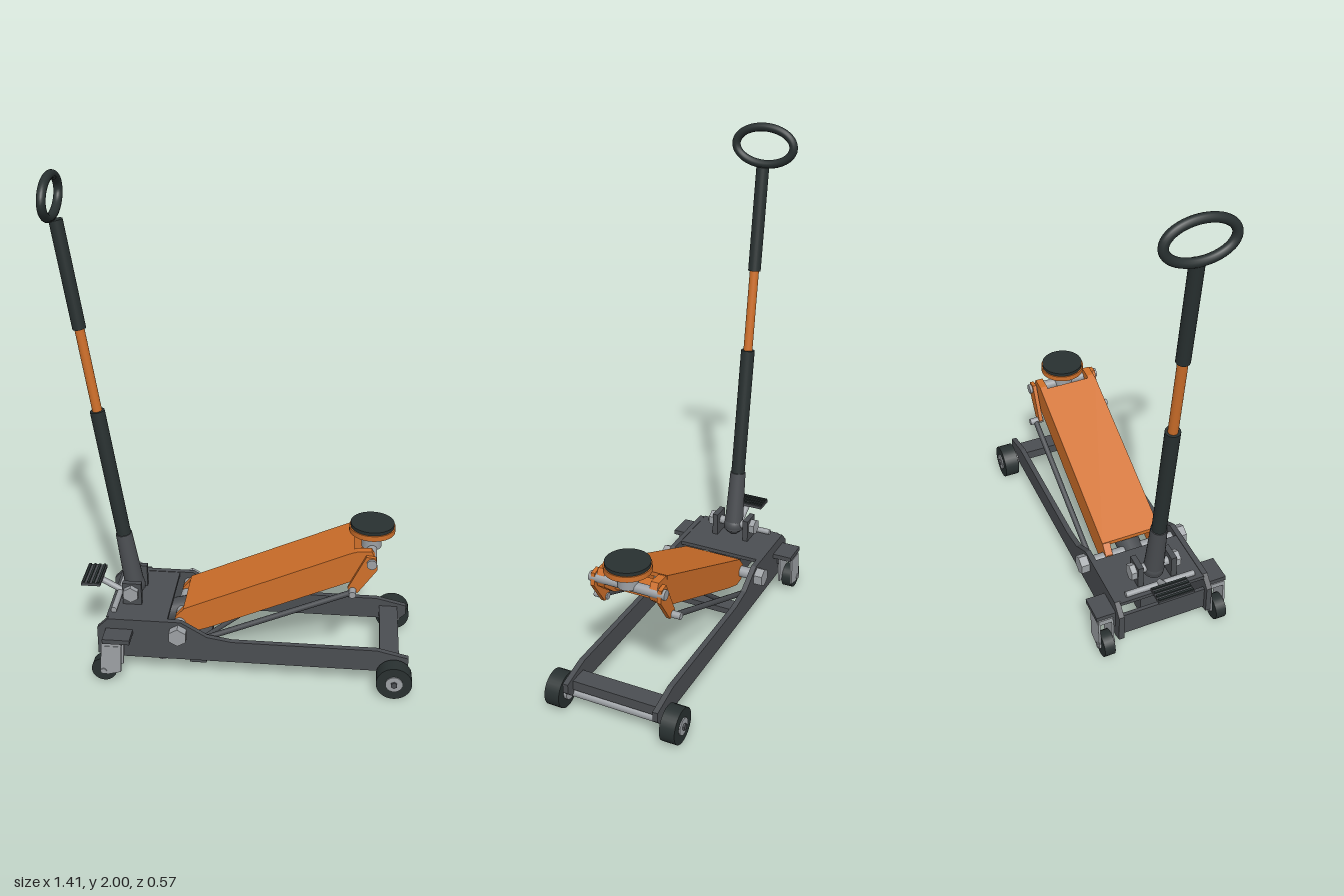
import * as THREE from 'three';

const material = (name, color) => {
  const m = new THREE.MeshStandardMaterial({ color });
  m.name = name;
  return m;
};

export function createModel() {
  const orange = material('orange paint', 0xd0702a);
  const frame = material('frame grey', 0x4b4e52);
  const rubber = material('black rubber', 0x293131);
  const steel = material('bare steel', 0x9da1a5);
  const root = new THREE.Group();
  root.name = 'trolleyJack';

  const add = (name, geometry, mat, x = 0, y = 0, z = 0) => {
    const m = new THREE.Mesh(geometry, mat);
    m.name = name;
    m.position.set(x, y, z);
    root.add(m);
    return m;
  };
  const box = (name, mat, x0, x1, y0, y1, z0, z1) =>
    add(name, new THREE.BoxGeometry(x1 - x0, y1 - y0, Math.abs(z1 - z0)), mat,
      (x0 + x1) / 2, (y0 + y1) / 2, (z0 + z1) / 2);
  // Round or polygonal bar between two points
  const rod = (name, mat, a, b, r0, r1 = r0, sides = 24) => {
    const p = new THREE.Vector3(...a), q = new THREE.Vector3(...b);
    const d = q.clone().sub(p);
    let g = new THREE.CylinderGeometry(r1, r0, d.length(), sides);
    if (sides < 10) { g = g.toNonIndexed(); g.computeVertexNormals(); }
    const m = add(name, g, mat, ...p.clone().add(q).multiplyScalar(0.5).toArray());
    m.quaternion.setFromUnitVectors(new THREE.Vector3(0, 1, 0), d.normalize());
    return m;
  };
  // Plate cut in the xy plane, running from z0 to z1
  const plate = (name, mat, points, z0, z1) => {
    const s = new THREE.Shape(points.map(p => new THREE.Vector2(...p)));
    const lo = Math.min(z0, z1);
    return add(name, new THREE.ExtrudeGeometry(s, { depth: Math.abs(z1 - z0), bevelEnabled: false }), mat, 0, 0, lo);
  };
  const cross = (name, mat, x, y, half, r, sides) =>
    rod(name, mat, [x, y, -half], [x, y, half], r, r, sides);

  // Parts that repeat on both sides
  for (const s of [1, -1]) {
    plate('sideRail', frame, [[-0.565, 0.085], [-0.53, 0.075], [0.66, 0.075], [0.685, 0.1], [0.685, 0.14],
      [0.56, 0.17], [-0.02, 0.17], [-0.12, 0.187], [-0.225, 0.25], [-0.52, 0.25], [-0.565, 0.205]],
      s * 0.178, s * 0.2);
    rod('pivotNut', steel, [-0.235, 0.2, s * 0.2], [-0.235, 0.2, s * 0.235], 0.039, 0.039, 6);

    // Front wheel with hub
    rod('frontWheel', rubber, [0.63, 0.07, s * 0.212], [0.63, 0.07, s * 0.274], 0.071, 0.071, 32);
    rod('frontHub', steel, [0.63, 0.07, s * 0.2], [0.63, 0.07, s * 0.279], 0.034);
    rod('hubBolt', frame, [0.63, 0.07, s * 0.27], [0.63, 0.07, s * 0.286], 0.014, 0.014, 6);

    // Rear caster
    box('casterMount', frame, -0.53, -0.42, 0.185, 0.205, s * 0.2, s * 0.28);
    box('casterMountLip', frame, -0.53, -0.47, 0.13, 0.19, s * 0.2, s * 0.212);
    box('casterCrown', steel, -0.535, -0.455, 0.165, 0.187, s * 0.213, s * 0.273);
    for (const z of [0.211, 0.267]) {
      plate('casterFork', steel, [[-0.535, 0.17], [-0.545, 0.045], [-0.515, 0.035], [-0.46, 0.05], [-0.455, 0.17]],
        s * z, s * (z + 0.008));
    }
    rod('casterWheel', rubber, [-0.53, 0.051, s * 0.221], [-0.53, 0.051, s * 0.265], 0.051, 0.051, 28);
    rod('casterAxle', steel, [-0.53, 0.051, s * 0.207], [-0.53, 0.051, s * 0.279], 0.012);

    // Lift arm cheek and saddle bracket
    plate('armCheek', orange, [[-0.262, 0.18], [-0.258, 0.225], [-0.225, 0.264], [0.465, 0.575], [0.52, 0.578],
      [0.54, 0.54], [0.53, 0.505], [0.46, 0.445], [-0.12, 0.185], [-0.2, 0.155], [-0.245, 0.16]],
      s * 0.094, s * 0.125);
    plate('saddleBracket', orange, [[0.432, 0.42], [0.445, 0.402], [0.472, 0.402], [0.545, 0.51],
      [0.538, 0.56], [0.5, 0.565]], s * 0.13, s * 0.146);

    // Parallel link and its pins
    rod('parallelLink', frame, [-0.28, 0.09, s * 0.157], [0.455, 0.412, s * 0.157], 0.0115);
    rod('linkPin', steel, [0.452, 0.412, s * 0.125], [0.452, 0.412, s * 0.182], 0.014);
    rod('linkAnchor', steel, [-0.28, 0.092, s * 0.14], [-0.28, 0.092, s * 0.185], 0.014);
    rod('frameBolt', steel, [-0.305, 0.06, s * 0.165], [-0.305, 0.085, s * 0.165], 0.024, 0.024, 6);
    rod('returnSpring', frame, [-0.16, 0.085, s * 0.065], [0.09, 0.285, s * 0.065], 0.01);

    // Handle yoke
    box('yokeCheek', frame, -0.48, -0.402, 0.24, 0.345, s * 0.06, s * 0.083);
    rod('yokeNut', steel, [-0.443, 0.305, s * 0.083], [-0.443, 0.305, s * 0.106], 0.034, 0.034, 6);
  }

  // Frame cross members
  box('coverPlate', frame, -0.53, -0.282, 0.232, 0.248, -0.18, 0.18);
  box('rearPlate', frame, -0.545, -0.53, 0.09, 0.19, -0.18, 0.18);
  box('lowerCrossPlate', frame, -0.192, -0.125, 0.05, 0.076, -0.18, 0.18);
  box('frontCrossMember', frame, 0.572, 0.648, 0.095, 0.135, -0.18, 0.18);
  cross('frontAxle', steel, 0.63, 0.072, 0.21, 0.018);
  cross('pivotShaft', steel, -0.24, 0.2, 0.21, 0.024);
  cross('rearRod', steel, -0.505, 0.258, 0.147, 0.012);

  // Hydraulic unit
  box('pumpBlock', frame, -0.49, -0.35, 0.1, 0.232, -0.075, 0.075);
  rod('ramCylinder', frame, [-0.37, 0.155, 0], [-0.1, 0.225, 0], 0.05);
  rod('ramCollar', steel, [-0.1, 0.225, 0], [-0.075, 0.232, 0], 0.05);
  rod('ramPiston', steel, [-0.08, 0.23, 0], [0.12, 0.325, 0], 0.022);
  cross('ramPin', steel, 0.12, 0.328, 0.095, 0.022);

  // Lift arm top and inner stiffeners
  plate('armTop', orange, [[-0.225, 0.25], [-0.225, 0.267], [0.452, 0.572], [0.452, 0.555]], -0.126, 0.126);
  for (const [x, y] of [[0.25, 0.37], [0.43, 0.465]]) {
    box('armStiffener', orange, x - 0.025, x + 0.025, y - 0.01, y + 0.01, -0.096, 0.096);
  }

  // Saddle
  cross('saddleShaft', steel, 0.522, 0.537, 0.157, 0.02);
  rod('saddlePost', steel, [0.52, 0.535, 0], [0.52, 0.606, 0], 0.04);
  rod('saddleDish', orange, [0.52, 0.604, 0], [0.52, 0.626, 0], 0.091, 0.091, 40);
  rod('saddlePad', rubber, [0.52, 0.626, 0], [0.52, 0.64, 0], 0.086, 0.086, 40);

  // Handle, leaning back along one line
  const onHandle = y => [-0.479 - (y - 0.53) * 0.151, y, 0];
  cross('yokeShaft', steel, -0.443, 0.305, 0.09, 0.018);
  add('socketKnuckle', new THREE.SphereGeometry(0.043, 24, 16), frame, -0.443, 0.295, 0);
  rod('handleSocket', frame, onHandle(0.275), onHandle(0.535), 0.041, 0.033);
  rod('lowerSleeve', rubber, onHandle(0.53), onHandle(1.075), 0.029);
  rod('handleTube', orange, onHandle(1.07), onHandle(1.415), 0.019);
  rod('upperSleeve', rubber, onHandle(1.41), onHandle(1.825), 0.026);

  // Oval grip ring
  class Oval extends THREE.Curve {
    getPoint(t, out = new THREE.Vector3()) {
      const a = t * Math.PI * 2;
      return out.set(0, 0.074 * Math.sin(a), 0.124 * Math.cos(a));
    }
  }
  add('gripRing', new THREE.TubeGeometry(new Oval(), 56, 0.017, 14, true), rubber, -0.69, 1.909, 0);

  // Foot pedal
  rod('pedalArm', steel, [-0.5, 0.262, 0], [-0.605, 0.322, 0], 0.013);
  box('pedalPlate', frame, -0.652, -0.573, 0.32, 0.332, -0.075, 0.075);
  for (let i = 0; i < 4; i++) {
    box('pedalRib', rubber, -0.647 + i * 0.02, -0.638 + i * 0.02, 0.332, 0.338, -0.073, 0.073);
  }
  return root;
}
